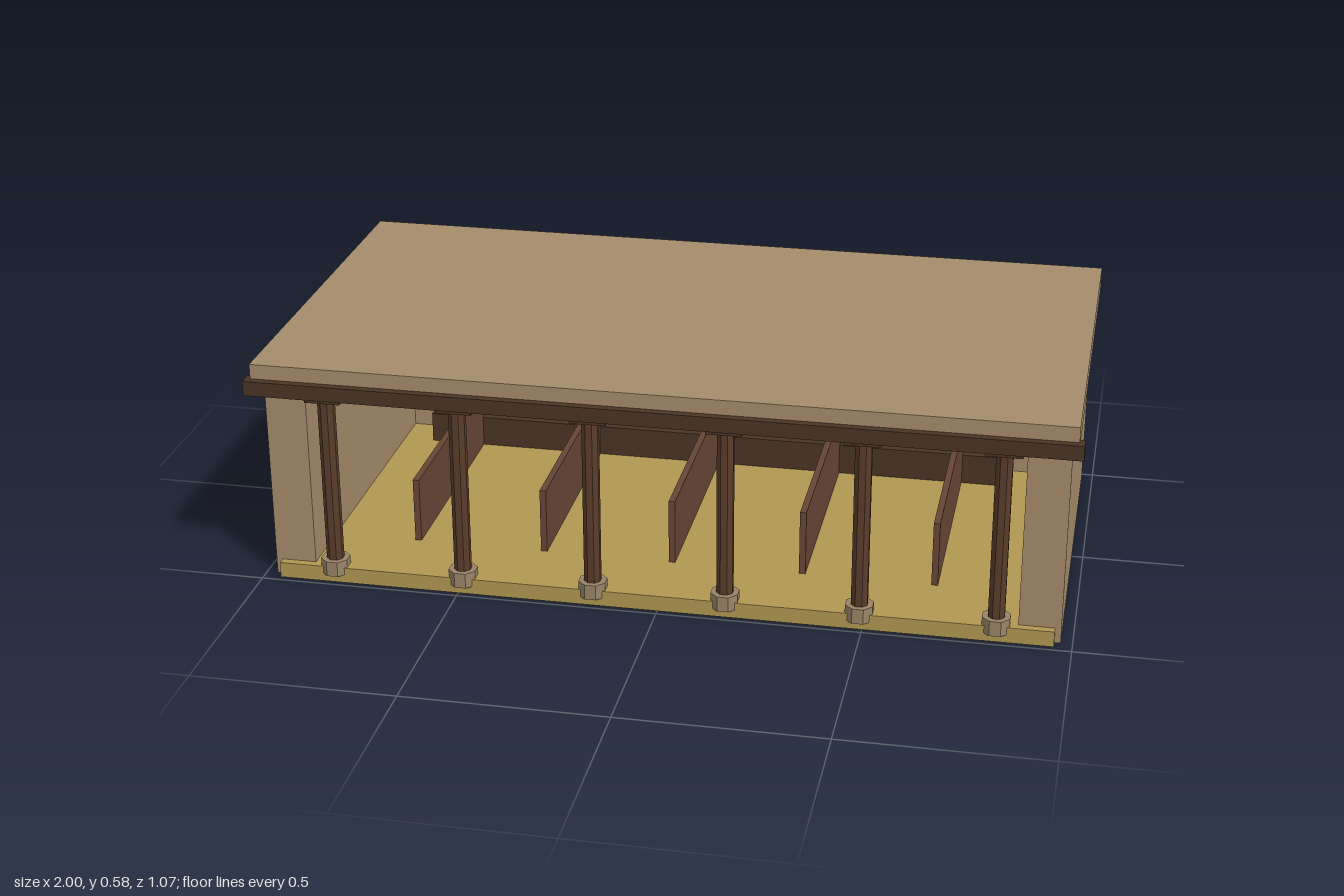
import * as THREE from 'three';

const colour = (name, color) => {
  const m = new THREE.MeshStandardMaterial({ color });
  m.name = name;
  return m;
};

export function createModel() {
  const model = new THREE.Group();
  model.name = 'openStable';

  const plaster = colour('plaster', 0xa58b6b);
  const straw = colour('straw floor', 0xb09852);
  const darkWood = colour('dark wood', 0x4a3424);
  const postWood = colour('post wood', 0x593d2b);
  const dividerWood = colour('divider wood', 0x664635);
  const stone = colour('stone', 0x9a8468);

  // Box given by its lower and upper limits on each axis
  const box = (name, material, [x0, x1], [y0, y1], [z0, z1], parent = model) => {
    const mesh = new THREE.Mesh(new THREE.BoxGeometry(x1 - x0, y1 - y0, z1 - z0), material);
    mesh.position.set((x0 + x1) / 2, (y0 + y1) / 2, (z0 + z1) / 2);
    mesh.name = name;
    parent.add(mesh);
    return mesh;
  };

  // Eight-sided prism with one flat side facing the front
  const prism = (name, material, radius, y0, y1, parent) => {
    const geometry = new THREE.CylinderGeometry(radius, radius, y1 - y0, 8).toNonIndexed();
    geometry.rotateY(Math.PI / 8);
    geometry.computeVertexNormals();
    const mesh = new THREE.Mesh(geometry, material);
    mesh.position.y = (y0 + y1) / 2;
    mesh.name = name;
    parent.add(mesh);
  };

  // Shell: floor, three walls and a flat roof
  box('floor', straw, [-0.957, 0.957], [0, 0.04], [-0.503, 0.485]);
  box('backWall', plaster, [-0.95, 0.95], [0.001, 0.525], [-0.507, -0.4]);
  for (const side of [-1, 1]) {
    const wall = box(side > 0 ? 'leftWall' : 'rightWall', plaster, [0.87, 0.972], [0.001, 0.525], [-0.481, 0.465]);
    wall.position.x *= side;
  }
  box('roof', plaster, [-0.987, 0.987], [0.525, 0.583], [-0.535, 0.515]);

  // Front beam
  box('frontBeam', darkWood, [-1, 1], [0.509, 0.546], [0.498, 0.535]);

  // Six posts with stone feet and bracket capitals
  for (let i = 0; i < 6; i++) {
    const post = new THREE.Group();
    post.name = 'post';
    post.position.set((i - 2.5) * 0.327, 0, 0.465);
    prism('postFoot', stone, 0.036, 0.021, 0.06, post);
    prism('postShaft', postWood, 0.0215, 0.06, 0.487, post);
    box('postCapital', darkWood, [-0.044, 0.044], [0.486, 0.525], [-0.033, 0.033], post);
    model.add(post);
  }

  // Manger along the back and five stall dividers
  box('manger', darkWood, [-0.79, 0.79], [0.04, 0.12], [-0.4, -0.3]);
  for (let i = -2; i <= 2; i++) {
    const x = i * 0.327;
    box('stallDivider', dividerWood, [x - 0.008, x + 0.008], [0.04, 0.207], [-0.4, 0.3]);
  }

  return model;
}
